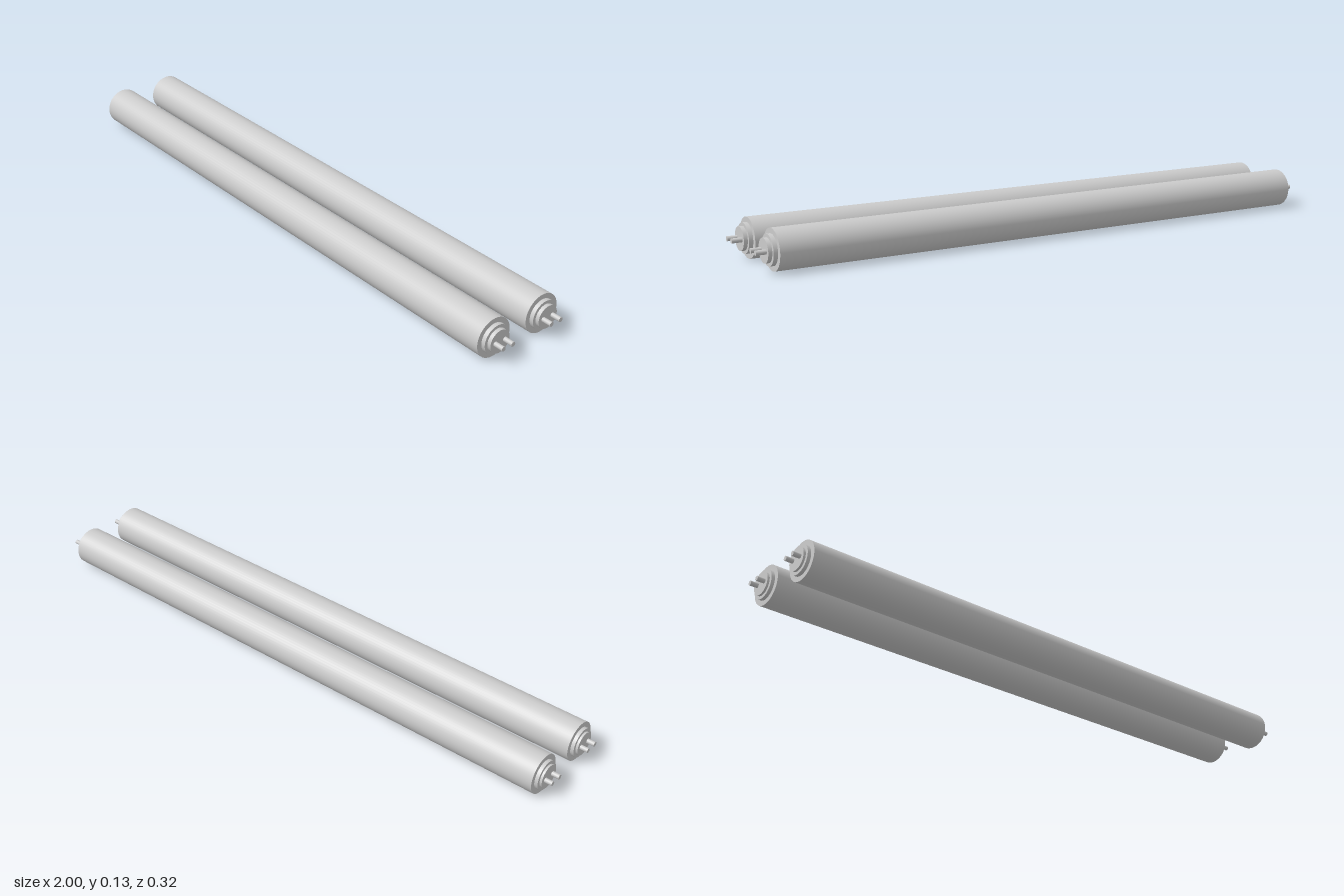
import * as THREE from 'three';

const material = new THREE.MeshStandardMaterial({ color: 0xcccccc });
const RADIUS = 0.063;

// Closed cylinder along x from x0 to x1
function rod(name, radius, x0, x1, z = 0, sides = 48) {
  const geometry = new THREE.CylinderGeometry(radius, radius, x1 - x0, sides);
  geometry.rotateZ(-Math.PI / 2);
  geometry.translate((x0 + x1) / 2, 0, z);
  const mesh = new THREE.Mesh(geometry, material);
  mesh.name = name;
  return mesh;
}

function createTube() {
  const tube = new THREE.Group();
  tube.add(rod('tubeBody', RADIUS, -0.957, 0.943));

  // Stepped end caps, the right one seated slightly deeper in the body
  tube.add(rod('leftCapRing', 0.047, 0.93, 0.956));
  tube.add(rod('leftCapDisc', 0.037, 0.94, 0.968));
  tube.add(rod('rightCapRing', 0.047, -0.968, -0.94));
  tube.add(rod('rightCapDisc', 0.037, -0.975, -0.95));

  // Two contact pins at each end
  for (const z of [-0.0185, 0.0185]) {
    tube.add(rod('leftPin', 0.0075, 0.95, 1, z, 20));
    tube.add(rod('rightPin', 0.0075, -1, -0.95, z, 20));
  }
  return tube;
}

export function createModel() {
  const model = new THREE.Group();
  model.name = 'fluorescentTubes';

  // Pair of parallel tubes
  for (const [name, z] of [['frontTube', 0.095], ['backTube', -0.095]]) {
    const tube = createTube();
    tube.name = name;
    tube.position.set(0, RADIUS, z);
    model.add(tube);
  }
  return model;
}
